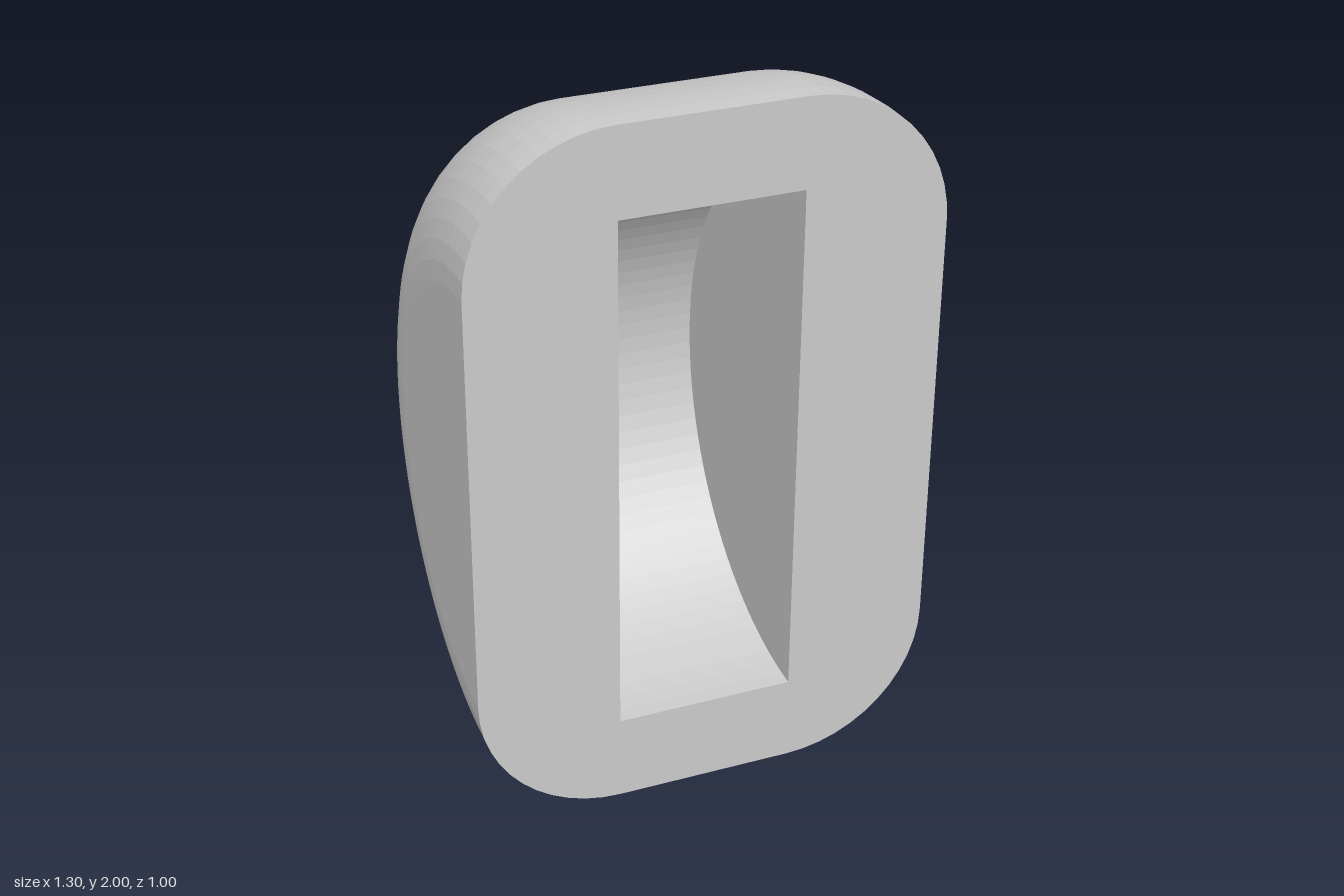
import * as THREE from 'three';

const HALF_WIDTH = 0.65, RADIUS = 1, FILLET = 0.4;
const SLOT_HALF = 0.25, SLOT_RADIUS = 0.75;
const SWEEP_STEPS = 50, FILLET_STEPS = 12;

// Half of the rounded outline, as (distance from axis, position along axis)
function bodyProfile() {
  const pts = [];
  for (const side of [-1, 1]) {
    for (let i = 0; i <= FILLET_STEPS; i++) {
      const t = (i / FILLET_STEPS) * Math.PI / 2;
      const a = side < 0 ? t - Math.PI / 2 : t;
      pts.push(new THREE.Vector2(
        RADIUS - FILLET + FILLET * Math.cos(a),
        side * (HALF_WIDTH - FILLET) + FILLET * Math.sin(a)
      ));
    }
  }
  return pts;
}

// Half turn behind the front face, about the x axis
function halfTurn(profile) {
  const geo = new THREE.LatheGeometry(profile, SWEEP_STEPS, Math.PI / 2, Math.PI);
  return geo.rotateZ(Math.PI / 2);
}

export function createModel() {
  const group = new THREE.Group();
  const material = new THREE.MeshStandardMaterial({ color: 0xcccccc, flatShading: true });
  const add = (name, geometry) => {
    const mesh = new THREE.Mesh(geometry, material);
    mesh.name = name;
    mesh.position.set(0, 1, 0.5);
    group.add(mesh);
  };
  const profile = bodyProfile();

  // Rounded half-disc shell, closed to the axis at both sides
  add('roundedBody', halfTurn([
    new THREE.Vector2(0, -HALF_WIDTH), ...profile, new THREE.Vector2(0, HALF_WIDTH)
  ]));

  // Half-disc slot, profile reversed so its walls face inward
  add('slot', halfTurn([
    new THREE.Vector2(0, SLOT_HALF),
    new THREE.Vector2(SLOT_RADIUS, SLOT_HALF),
    new THREE.Vector2(SLOT_RADIUS, -SLOT_HALF),
    new THREE.Vector2(0, -SLOT_HALF)
  ]));

  // Flat front face with the slot opening
  const outline = [
    ...profile.map(p => new THREE.Vector2(p.y, -p.x)),
    ...profile.map(p => new THREE.Vector2(-p.y, p.x))
  ];
  const face = new THREE.Shape(outline);
  face.holes.push(new THREE.Path([
    new THREE.Vector2(-SLOT_HALF, -SLOT_RADIUS),
    new THREE.Vector2(-SLOT_HALF, SLOT_RADIUS),
    new THREE.Vector2(SLOT_HALF, SLOT_RADIUS),
    new THREE.Vector2(SLOT_HALF, -SLOT_RADIUS)
  ]));
  add('frontFace', new THREE.ShapeGeometry(face));

  return group;
}
